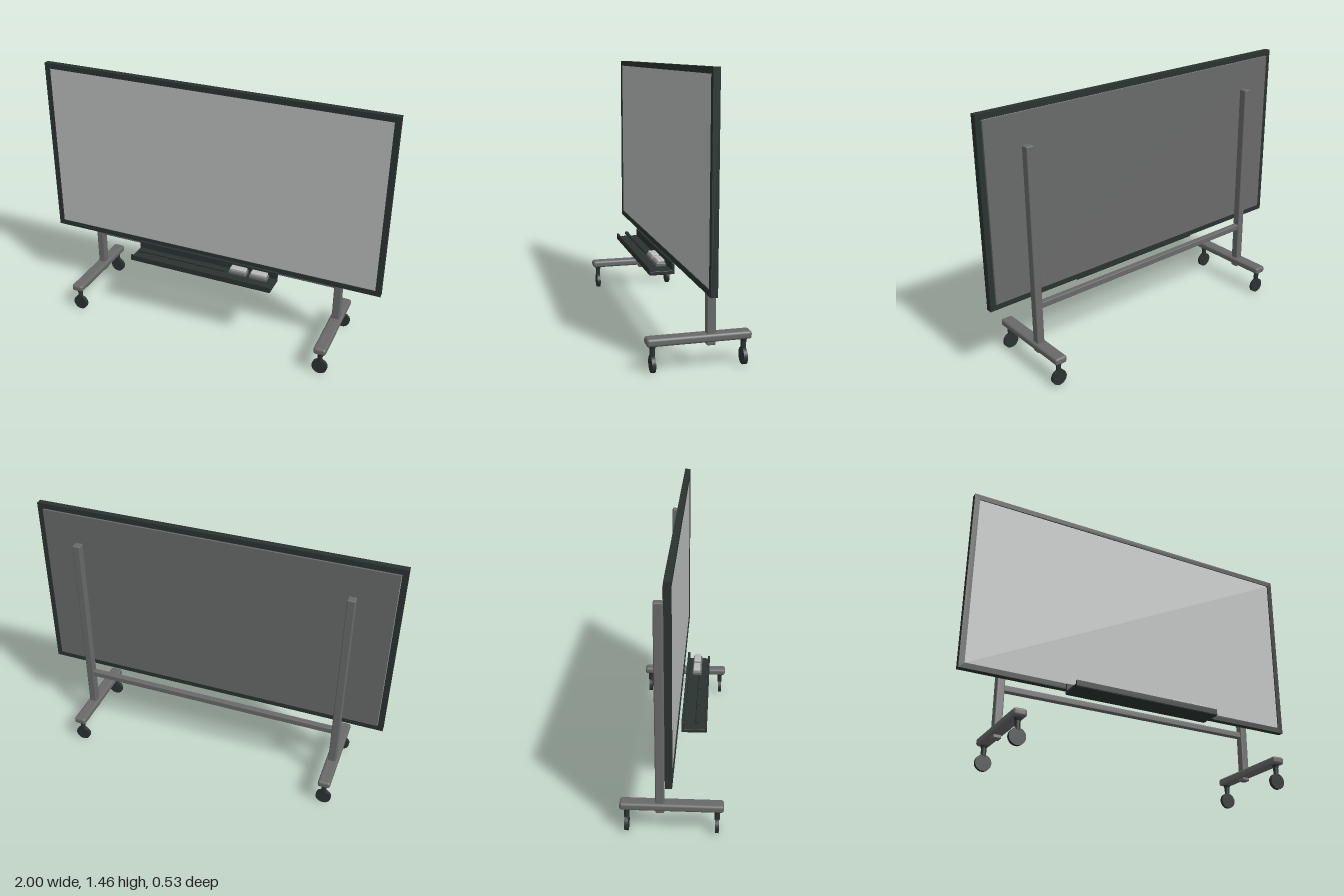
import * as THREE from 'three';
import { RoundedBoxGeometry } from 'three/addons/geometries/RoundedBoxGeometry.js';

const mat = (name, color) => {
  const m = new THREE.MeshStandardMaterial({ color });
  m.name = name;
  return m;
};

export function createModel() {
  const model = new THREE.Group();
  model.name = 'mobileWhiteboard';
  const charcoal = mat('charcoal', 0x2a3331);
  const steel = mat('steelGrey', 0x686a69);
  const white = mat('boardGrey', 0xb8bbba);

  const add = (name, geometry, material, x, y, z, parent = model) => {
    const mesh = new THREE.Mesh(geometry, material);
    mesh.name = name;
    mesh.position.set(x, y, z);
    parent.add(mesh);
    return mesh;
  };
  // Box given by its ranges; r > 0 rounds the edges
  const box = (name, material, [x0, x1], [y0, y1], [z0, z1], r = 0, parent = model) => {
    const s = [x1 - x0, y1 - y0, z1 - z0];
    const g = r ? new RoundedBoxGeometry(...s, 3, r) : new THREE.BoxGeometry(...s);
    return add(name, g, material, (x0 + x1) / 2, (y0 + y1) / 2, (z0 + z1) / 2, parent);
  };

  // Board: frame with an opening, writing surface and back plate
  const rect = (P, x, y0, y1) => {
    const p = new P();
    p.moveTo(-x, y0).lineTo(x, y0).lineTo(x, y1).lineTo(-x, y1).closePath();
    return p;
  };
  const outline = rect(THREE.Shape, 1, 0.427, 1.457);
  outline.holes.push(rect(THREE.Path, 0.97, 0.457, 1.427));
  add('boardFrame', new THREE.ExtrudeGeometry(outline, { depth: 0.034, bevelEnabled: false }),
    charcoal, 0, 0, -0.016);
  box('writingSurface', white, [-0.97, 0.97], [0.457, 1.427], [-0.01, 0.013]);
  box('backPlate', steel, [-0.967, 0.967], [0.46, 1.424], [-0.022, -0.01]);

  // Stand: posts, feet and casters on both sides
  for (const side of [-1, 1]) {
    const stand = new THREE.Group();
    stand.name = side > 0 ? 'leftStand' : 'rightStand';
    stand.position.x = side * 0.754;
    model.add(stand);
    box('post', steel, [-0.0215, 0.0215], [0.117, 1.268], [-0.082, -0.037], 0.006, stand);
    box('foot', steel, [-0.035, 0.035], [0.136, 0.177], [-0.265, 0.265], 0.014, stand);
    for (const end of [-1, 1]) {
      const caster = new THREE.Group();
      caster.name = end > 0 ? 'frontCaster' : 'backCaster';
      caster.position.z = end * 0.231;
      stand.add(caster);
      const wheel = add('wheel', new THREE.CylinderGeometry(0.043, 0.043, 0.02, 28),
        charcoal, 0, 0.043, 0, caster);
      wheel.rotation.x = Math.PI / 2;
      add('stem', new THREE.CylinderGeometry(0.014, 0.014, 0.06, 16),
        charcoal, 0, 0.107, 0, caster);
      add('stemCollar', new THREE.CylinderGeometry(0.02, 0.015, 0.016, 16),
        charcoal, 0, 0.129, 0, caster);
    }
  }
  box('crossbar', steel, [-0.754, 0.754], [0.374, 0.408], [-0.077, -0.043], 0.005);

  // Accessory tray
  const tray = new THREE.Group();
  tray.name = 'tray';
  model.add(tray);
  box('trayBase', charcoal, [-0.428, 0.428], [0.387, 0.407], [0.032, 0.165], 0.003, tray);
  box('trayFrontLip', charcoal, [-0.428, 0.428], [0.39, 0.424], [0.156, 0.167], 0.003, tray);
  box('trayBackLip', charcoal, [-0.428, 0.428], [0.39, 0.447], [0.032, 0.046], 0.003, tray);

  // Markers with caps
  for (const x of [-0.396, -0.212, -0.03]) {
    const marker = new THREE.Group();
    marker.name = 'marker';
    marker.position.set(x, 0.43, 0.112);
    marker.rotation.z = -Math.PI / 2;
    tray.add(marker);
    add('markerBody', new THREE.CylinderGeometry(0.008, 0.008, 0.17, 12), charcoal, 0, 0.085, 0, marker);
    add('markerCap', new THREE.CylinderGeometry(0.011, 0.011, 0.026, 12), charcoal, 0, 0.013, 0, marker);
  }

  // Erasers
  for (const x of [0.217, 0.339]) {
    box('eraserFelt', steel, [x - 0.052, x + 0.052], [0.42, 0.441], [0.068, 0.122], 0.006, tray);
    box('eraserGrip', white, [x - 0.046, x + 0.046], [0.439, 0.457], [0.074, 0.114], 0.005, tray);
  }
  return model;
}
